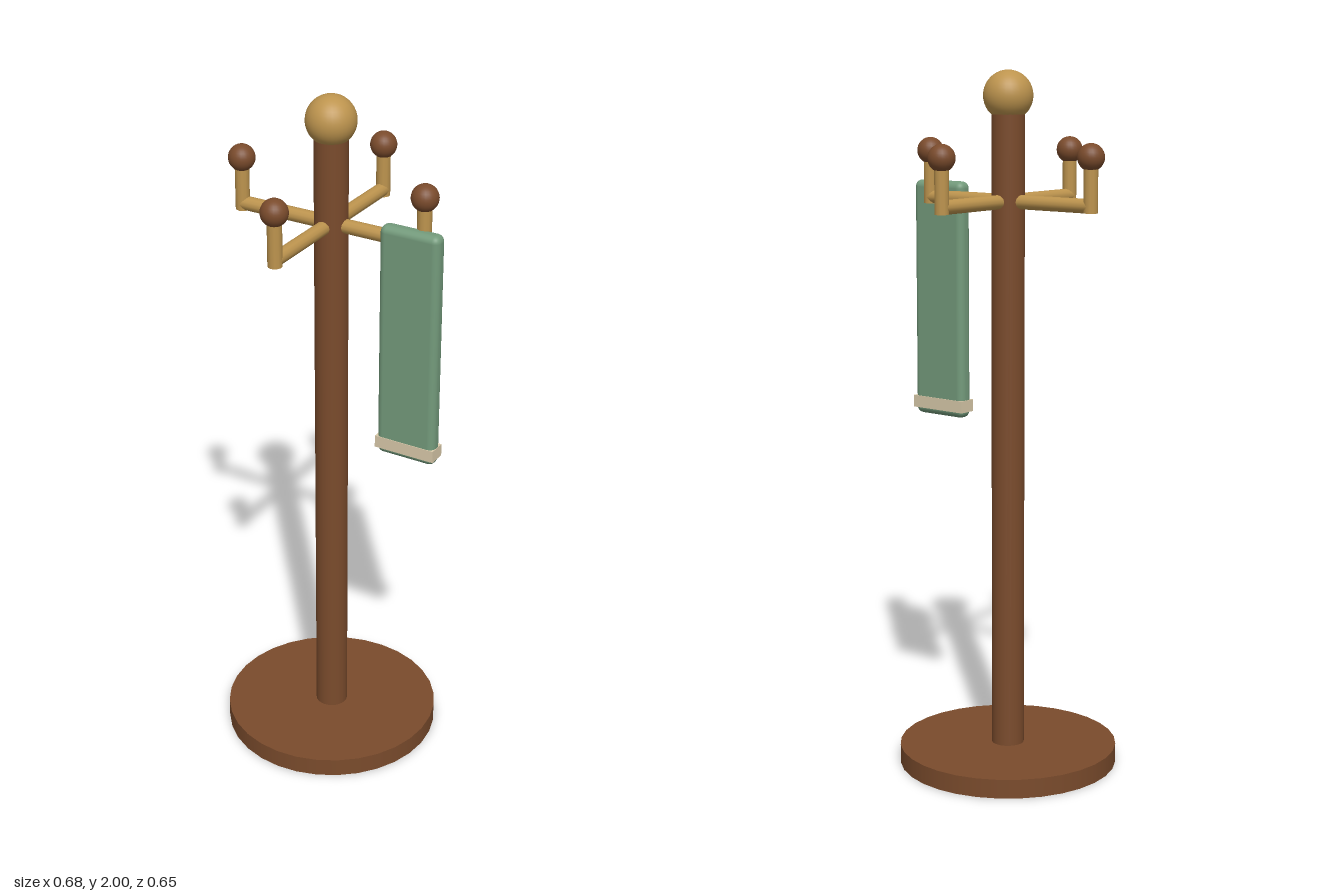
import * as THREE from 'three';
import { RoundedBoxGeometry } from 'three/addons/geometries/RoundedBoxGeometry.js';

const material = (name, color) => {
  const m = new THREE.MeshStandardMaterial({ color });
  m.name = name;
  return m;
};

export function createModel() {
  const wood = material('brown wood', 0x7a4b2c);
  const brass = material('brass', 0xbd944e);
  const green = material('green cloth', 0x739a7b);
  const cream = material('cream trim', 0xd8c9a9);

  const model = new THREE.Group();
  model.name = 'coatStand';
  const add = (parent, name, geometry, mat, x, y, z) => {
    const mesh = new THREE.Mesh(geometry, mat);
    mesh.name = name;
    mesh.position.set(x, y, z);
    parent.add(mesh);
    return mesh;
  };

  // Stand: round foot, pole and finial, slightly off centre because of the scarf
  const stand = new THREE.Group();
  stand.name = 'stand';
  stand.position.x = -0.018;
  model.add(stand);
  add(stand, 'base', new THREE.CylinderGeometry(0.316, 0.316, 0.055, 32), wood, 0, 0.0275, 0);
  add(stand, 'pole', new THREE.CylinderGeometry(0.047, 0.047, 1.85, 24), wood, 0, 0.975, 0);
  add(stand, 'finial', new THREE.SphereGeometry(0.07, 32, 20), brass, 0, 1.93, 0);

  // Four hooks: horizontal arm, upright peg and knob
  const reach = 0.285;
  const armGeometry = new THREE.CylinderGeometry(0.02, 0.02, reach, 12).rotateZ(Math.PI / 2);
  const pegGeometry = new THREE.CylinderGeometry(0.02, 0.02, 0.135, 12);
  const knobGeometry = new THREE.SphereGeometry(0.038, 24, 16);
  for (let i = 0; i < 4; i++) {
    const hook = new THREE.Group();
    hook.name = 'hook' + (i + 1);
    hook.rotation.y = i * Math.PI / 2;
    stand.add(hook);
    add(hook, 'arm', armGeometry, brass, reach / 2, 1.638, 0);
    add(hook, 'peg', pegGeometry, brass, reach, 1.687, 0);
    add(hook, 'knob', knobGeometry, wood, reach, 1.77, 0);
  }

  // Scarf hanging on the left hook, with a pale band near its end
  const scarf = new THREE.Group();
  scarf.name = 'scarf';
  model.add(scarf);
  add(scarf, 'cloth', new RoundedBoxGeometry(0.18, 0.686, 0.048, 4, 0.02), green, 0.243, 1.341, 0.022);
  add(scarf, 'trimBand', new THREE.BoxGeometry(0.183, 0.035, 0.052), cream, 0.243, 1.033, 0.022);

  return model;
}
